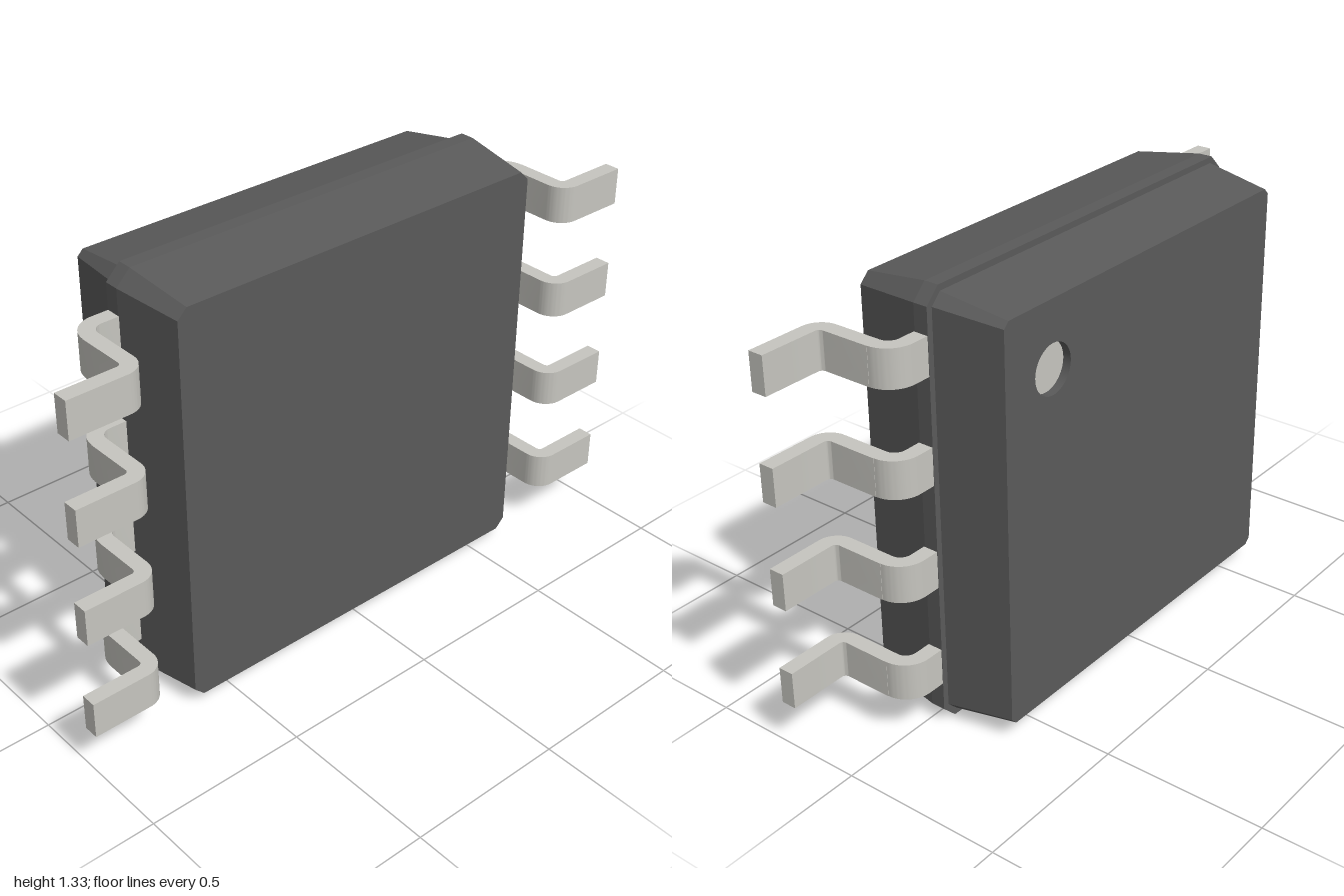
import * as THREE from 'three';
import { toCreasedNormals } from 'three/addons/utils/BufferGeometryUtils.js';

const MID_Y = 0.667;
const dark = new THREE.MeshStandardMaterial({ color: 0x5a5a5a });
const metal = new THREE.MeshStandardMaterial({ color: 0xc6c5bf });
const hollow = new THREE.MeshStandardMaterial({ color: 0x5a5a5a, side: THREE.BackSide });

function add(parent, name, geometry, material, x = 0, y = 0, z = 0) {
  const mesh = new THREE.Mesh(geometry, material);
  mesh.name = name;
  mesh.position.set(x, y, z);
  parent.add(mesh);
  return mesh;
}

// Square outline with chamfered corners, counter-clockwise
function outline(half, cut) {
  const a = half, b = half - cut;
  return [[a, -b], [a, b], [b, a], [-b, a], [-a, b], [-a, -b], [-b, -a], [b, -a]]
    .map(([x, y]) => new THREE.Vector2(x, y));
}

// Flat-faced walls through sections [z, half, cut], listed from front to back
function loft(sections) {
  const rings = sections.map(([z, half, cut]) =>
    outline(half, cut).map(p => new THREE.Vector3(p.x, p.y, z)));
  const points = [];
  for (let r = 0; r < rings.length - 1; r++) {
    for (let i = 0; i < 8; i++) {
      const j = (i + 1) % 8;
      const a = rings[r][i], b = rings[r][j], c = rings[r + 1][j], d = rings[r + 1][i];
      points.push(a, d, b, b, d, c);
    }
  }
  const geometry = new THREE.BufferGeometry().setFromPoints(points);
  geometry.computeVertexNormals();
  return geometry;
}

// Gull-wing lead: a bent strip drawn in (x, -z), extruded along y
function leadGeometry() {
  const width = 0.115;
  const s = new THREE.Shape();
  s.moveTo(0.6, -0.003);
  s.lineTo(0.72, -0.003);
  s.absarc(0.72, -0.038, 0.035, Math.PI / 2, 0, true);
  s.lineTo(0.755, -0.19);
  s.absarc(0.817, -0.19, 0.062, Math.PI, Math.PI * 1.5, false);
  s.lineTo(1, -0.252);
  s.lineTo(1, -0.204);
  s.lineTo(0.817, -0.204);
  s.absarc(0.817, -0.19, 0.014, Math.PI * 1.5, Math.PI, true);
  s.lineTo(0.803, -0.038);
  s.absarc(0.72, -0.038, 0.082, 0, Math.PI / 2, false);
  s.lineTo(0.6, 0.044);
  s.closePath();
  const g = new THREE.ExtrudeGeometry(s, { depth: width, bevelEnabled: false, curveSegments: 10 });
  g.translate(0, 0, -width / 2).rotateX(-Math.PI / 2);
  return toCreasedNormals(g, 0.5);
}

export function createModel() {
  const model = new THREE.Group();
  model.name = 'chipPackage';

  // Moulded body: wider front half, stepped in to the tapered back half
  const body = new THREE.Group();
  body.name = 'body';
  body.position.y = MID_Y;
  model.add(body);
  add(body, 'bodyWalls', loft([
    [0.214, 0.635, 0.03],
    [0, 0.667, 0.045],
    [-0.045, 0.667, 0.045],
    [-0.045, 0.648, 0.033],
    [-0.252, 0.615, 0.018],
  ]), dark);
  add(body, 'frontFace', new THREE.ShapeGeometry(new THREE.Shape(outline(0.635, 0.03))), dark, 0, 0, 0.214);

  // Back face, pierced by the round pin-one dimple
  const dx = 0.42, dy = 0.415, radius = 0.075, depth = 0.025;
  const back = new THREE.Shape(outline(0.615, 0.018));
  back.holes.push(new THREE.Path().absarc(-dx, dy, radius, 0, Math.PI * 2, true));
  add(body, 'backFace', new THREE.ShapeGeometry(back, 16).rotateY(Math.PI), dark, 0, 0, -0.252);
  add(body, 'dimpleWall', new THREE.CylinderGeometry(radius, radius, depth, 32, 1, true).rotateX(Math.PI / 2),
    hollow, dx, dy, -0.252 + depth / 2);
  add(body, 'dimpleFloor', new THREE.CircleGeometry(radius, 32).rotateY(Math.PI), metal, dx, dy, -0.252 + depth);

  // Four leads on each side
  const lead = leadGeometry();
  for (let i = 0; i < 4; i++) {
    const y = 0.191 + i * 0.32;
    add(model, 'leftLead', lead, metal, 0, y);
    add(model, 'rightLead', lead, metal, 0, y).rotation.z = Math.PI;
  }
  return model;
}
